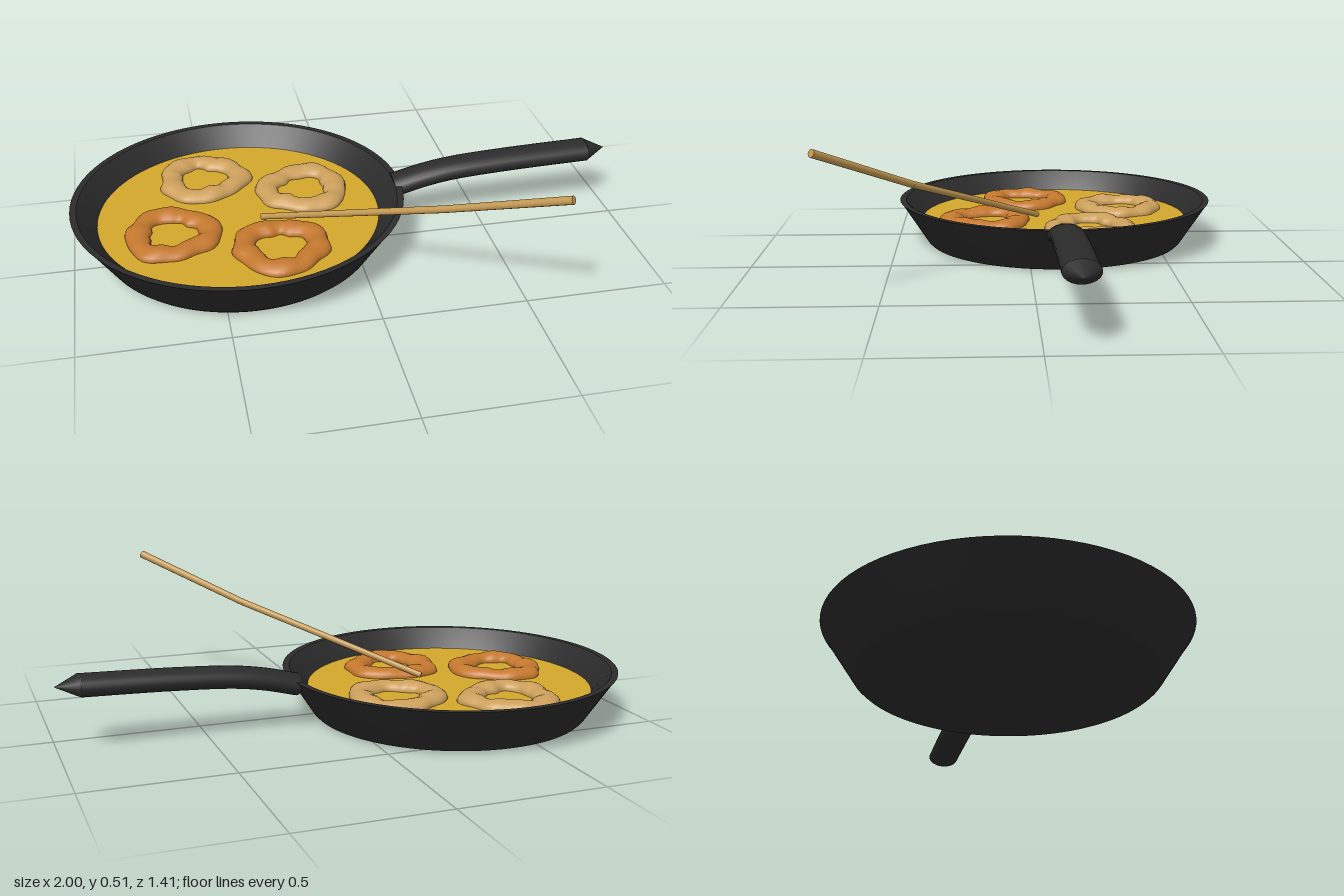
import * as THREE from 'three';
import { mergeVertices, toCreasedNormals } from 'three/addons/utils/BufferGeometryUtils.js';

const material = (name, color) => {
  const m = new THREE.MeshStandardMaterial({ color });
  m.name = name;
  return m;
};

const PAN_X = -0.4, PAN_Z = -0.11, OIL_Y = 0.098;

export function createModel() {
  const iron = material('cast iron', 0x2b2b2b);
  const oilGold = material('golden oil', 0xd4a72c);
  const paleBatter = material('pale batter', 0xcda05c);
  const brownBatter = material('browned batter', 0xc4782e);
  const wood = material('wood', 0xc19750);

  const model = new THREE.Group();
  model.name = 'fryingPan';
  const add = (name, geometry, mat, parent = model) => {
    const mesh = new THREE.Mesh(geometry, mat);
    mesh.name = name;
    parent.add(mesh);
    return mesh;
  };

  // Pan body: closed profile, outside wall up to the thin rim and back down inside
  const profile = [
    [0, 0], [0.47, 0], [0.485, 0.003], [0.497, 0.014], [0.595, 0.165], [0.6, 0.17],
    [0.577, 0.17], [0.51, OIL_Y], [0.465, 0.03], [0, 0.025],
  ].map(([r, y]) => new THREE.Vector2(r, y));
  const pan = add('pan', toCreasedNormals(new THREE.LatheGeometry(profile, 80), 0.6), iron);
  pan.position.set(PAN_X, 0, PAN_Z);

  // Oil surface
  const oil = add('oil', new THREE.CircleGeometry(0.515, 80).rotateX(-Math.PI / 2), oilGold);
  oil.position.set(PAN_X, OIL_Y, PAN_Z);

  // Lumpy three-cornered ring; phase turns its corners
  const batterRing = (phase, seed) => {
    const R = 0.128;
    let g = new THREE.TorusGeometry(R, 0.043, 14, 56).rotateX(-Math.PI / 2);
    g.deleteAttribute('uv');
    g.deleteAttribute('normal');
    g = mergeVertices(g, 1e-5);
    const p = g.attributes.position;
    for (let i = 0; i < p.count; i++) {
      const x = p.getX(i), y = p.getY(i), z = p.getZ(i);
      const a = Math.atan2(z, x), off = Math.hypot(x, z) - R;
      const lump = 1 + 0.08 * Math.sin(5 * a + seed) + 0.06 * Math.sin(9 * a + 2 * seed + 30 * y);
      const r = R * (1 + 0.07 * Math.cos(3 * (a - phase)) + 0.025 * Math.sin(7 * a + seed)) + off * lump;
      p.setXYZ(i, r * Math.cos(a), y * 0.65 * lump, r * Math.sin(a));
    }
    g.computeVertexNormals();
    return g;
  };

  const rings = new THREE.Group();
  rings.name = 'batterRings';
  model.add(rings);
  [
    [-0.505, -0.375, 0, paleBatter],
    [-0.145, -0.23, Math.PI, paleBatter],
    [-0.65, 0, 0.1, brownBatter],
    [-0.285, 0.155, -0.35, brownBatter],
  ].forEach(([x, z, phase, mat], i) => {
    add('batterRing', batterRing(phase, i * 1.7 + 0.5), mat, rings).position.set(x, OIL_Y + 0.004, z);
  });

  // Handle: curved bar, wider than tall, with a pointed end
  const handle = new THREE.Group();
  handle.name = 'handle';
  handle.position.z = PAN_Z;
  handle.scale.z = 1.55;
  model.add(handle);
  const path = new THREE.CatmullRomCurve3([
    [0.18, 0.15], [0.29, 0.178], [0.4, 0.196], [0.6, 0.209], [0.92, 0.219],
  ].map(([x, y]) => new THREE.Vector3(x, y, 0)));
  const H = 0.038;
  add('handleBar', new THREE.TubeGeometry(path, 32, H, 24), iron, handle);
  const start = add('handleRoot', new THREE.CircleGeometry(H, 24).rotateY(-Math.PI / 2), iron, handle);
  start.position.copy(path.getPoint(0));
  start.rotation.z = 0.25;
  const tip = add('handleTip', new THREE.ConeGeometry(H, 0.08, 24).rotateZ(-Math.PI / 2), iron, handle);
  tip.position.set(0.96, 0.22, 0);

  // Cooking stick: two tapered lengths meeting at a slight bend
  const stick = new THREE.Group();
  stick.name = 'cookingStick';
  model.add(stick);
  const joints = [[-0.325, 0.115, -0.04], [0.22, 0.34, 0.405], [0.545, 0.5, 0.69]]
    .map((v) => new THREE.Vector3(...v));
  const radii = [0.011, 0.0125, 0.014];
  for (let i = 0; i < 2; i++) {
    const dir = joints[i + 1].clone().sub(joints[i]);
    const part = add('stickLength', new THREE.CylinderGeometry(radii[i + 1], radii[i], dir.length(), 12), wood, stick);
    part.position.copy(joints[i]).addScaledVector(dir, 0.5);
    part.quaternion.setFromUnitVectors(new THREE.Vector3(0, 1, 0), dir.normalize());
  }

  return model;
}
